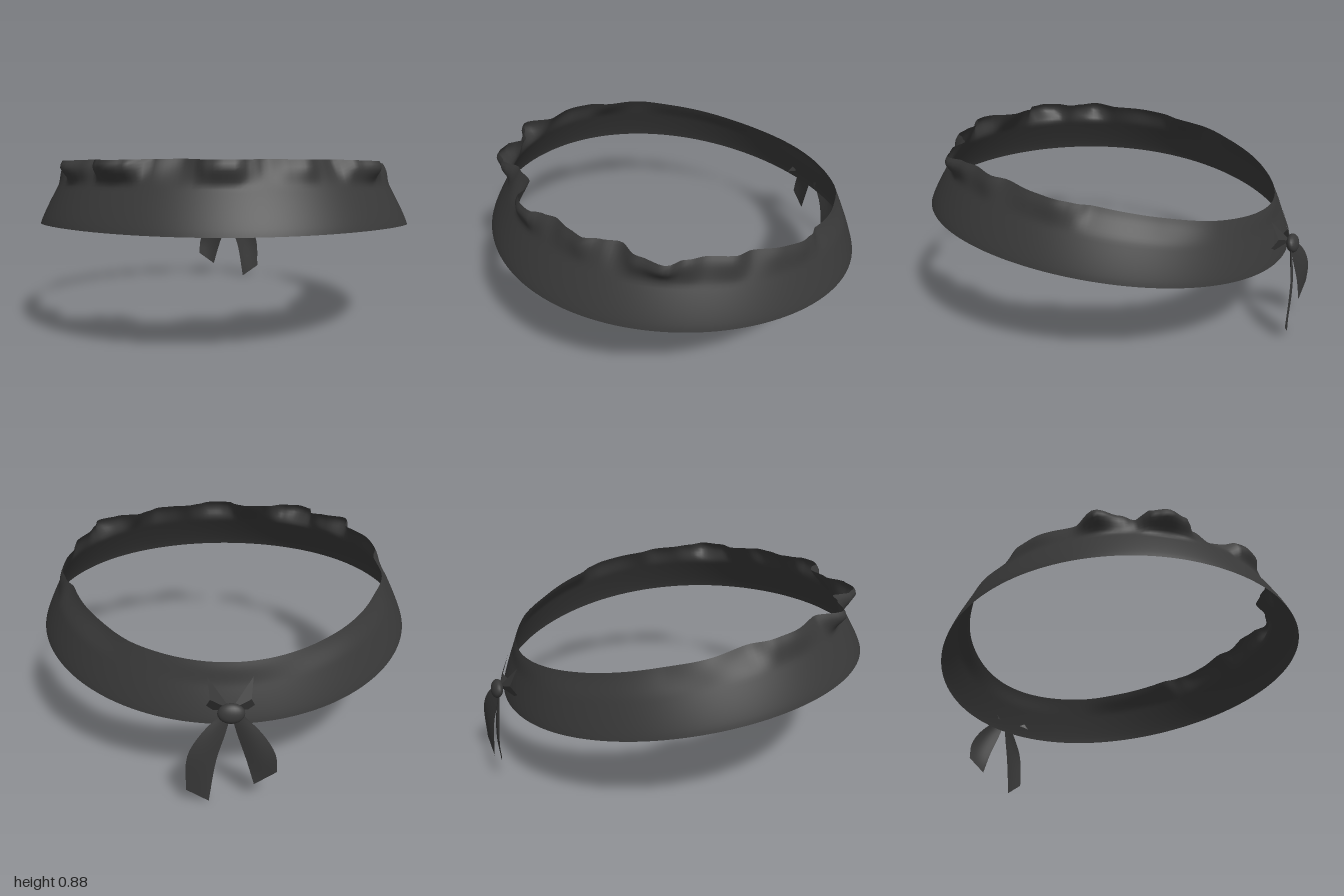
import * as THREE from 'three';

const cloth = new THREE.MeshStandardMaterial({ color: 0x383838, side: THREE.DoubleSide });
cloth.name = 'charcoal cloth';

// Smooth indexed surface from a grid of points; the grid may wrap round in u
function gridSurface(nu, nv, wrap, point) {
  const pos = [], index = [], cols = wrap ? nu : nu + 1;
  for (let j = 0; j <= nv; j++)
    for (let i = 0; i < cols; i++) pos.push(...point(i / nu, j / nv));
  for (let j = 0; j < nv; j++)
    for (let i = 0; i < nu; i++) {
      const k = (i + 1) % cols;
      const a = j * cols + i, b = j * cols + k, c = a + cols, d = b + cols;
      index.push(a, b, d, a, d, c);
    }
  const g = new THREE.BufferGeometry();
  g.setAttribute('position', new THREE.Float32BufferAttribute(pos, 3));
  g.setIndex(index);
  g.computeVertexNormals();
  return g;
}

// Rim radius by angle in degrees (0 = front, 90 = +x): ruffled in front, plain behind
const RIM = [
  [-180, 0.82], [-142, 0.80], [-118, 0.80], [-104, 0.815], [-90, 0.79], [-81, 0.83],
  [-73, 0.84], [-61, 0.82], [-53, 0.92], [-46, 0.865], [-41, 0.83], [-37, 0.91],
  [-32, 0.935], [-26, 0.90], [-21, 0.82], [-11, 0.785], [-7, 0.81], [-4, 0.87],
  [0, 0.885], [5, 0.88], [9, 0.84], [14, 0.815], [21, 0.835], [27, 0.85], [32, 0.82], [38, 0.80],
  [45, 0.87], [53, 0.91], [58, 0.86], [65, 0.83], [73, 0.84], [79, 0.81], [90, 0.83],
  [97, 0.835], [103, 0.82], [109, 0.79], [130, 0.79], [150, 0.81], [180, 0.82],
];
function rimRadius(deg) {
  let i = 0;
  while (i < RIM.length - 2 && RIM[i + 1][0] < deg) i++;
  const t = (deg - RIM[i][0]) / (RIM[i + 1][0] - RIM[i][0]);
  return THREE.MathUtils.lerp(RIM[i][1], RIM[i + 1][1], t * t * (3 - 2 * t));
}

// Tilted band: wide lower edge, narrower neck, then the ruffle flares out
function bandPoint(u, v) {
  const a = (u * 2 - 1) * Math.PI, s = Math.sin(a), c = Math.cos(a);
  const rim = rimRadius((u * 2 - 1) * 180);
  const neck = 0.81;
  const bx = 0.955 * s, bz = 0.05 + 0.95 * c, nz = neck * c;
  const bottom = 0.5 + 0.12 * bz - 0.055 * bz * bz;
  const top = 0.795 + 0.165 * nz - 0.08 * nz * nz;
  const f = Math.pow(v, 1.15);
  const flare = (rim - neck) * THREE.MathUtils.smoothstep(v, 0.6, 0.95);
  return [
    THREE.MathUtils.lerp(bx, neck * s, f) + flare * s,
    THREE.MathUtils.lerp(bottom, top, v),
    THREE.MathUtils.lerp(bz, nz, f) + flare * c,
  ];
}

// Hanging tail: a strip between an inner and an outer edge, cut on a slant
function tailGeometry(side, drop) {
  const curve = (pts) => new THREE.CatmullRomCurve3(pts.map((p) => new THREE.Vector3(...p)));
  const inner = curve([
    [0.0, 0.42, -0.935], [0.025, 0.33, -0.95], [0.065, 0.21, -0.97], [0.1, drop, -0.98],
  ]);
  const outer = curve([
    [0.03, 0.44, -0.945], [0.13, 0.35, -0.98], [0.19, 0.25, -0.995], [0.2, drop + 0.07, -0.99],
  ]);
  return gridSurface(8, 12, false, (u, v) => {
    const p = inner.getPoint(v).lerp(outer.getPoint(v), u);
    return [p.x * side, p.y, p.z - 0.012 * Math.sin(Math.PI * u) * Math.sin(Math.PI * v)];
  });
}

// Short folded end that fans out of the knot and tucks into the band
function earGeometry(side) {
  const root = [0, 0.44, -0.935], high = [0.1, 0.56, -0.86];
  const fold = [0.09, 0.47, -0.9], low = [0.12, 0.39, -0.85];
  const pos = [root, fold, high, root, low, fold].flatMap(([x, y, z]) => [x * side, y, z]);
  const g = new THREE.BufferGeometry();
  g.setAttribute('position', new THREE.Float32BufferAttribute(pos, 3));
  g.computeVertexNormals();
  return g;
}

export function createModel() {
  const model = new THREE.Group();
  model.name = 'headband';
  const add = (name, geometry) => {
    const mesh = new THREE.Mesh(geometry, cloth);
    mesh.name = name;
    model.add(mesh);
    return mesh;
  };

  add('band', gridSurface(240, 20, true, bandPoint));

  // Knot at the back
  const knot = add('knot', new THREE.SphereGeometry(1, 20, 14));
  knot.scale.set(0.06, 0.045, 0.028);
  knot.position.set(0, 0.43, -0.948);
  knot.rotation.x = 0.25;

  for (const [side, label, drop] of [[1, 'left', 0.0], [-1, 'right', 0.085]]) {
    add(label + 'Tail', tailGeometry(side, drop));
    add(label + 'KnotEnd', earGeometry(side));
  }
  return model;
}
